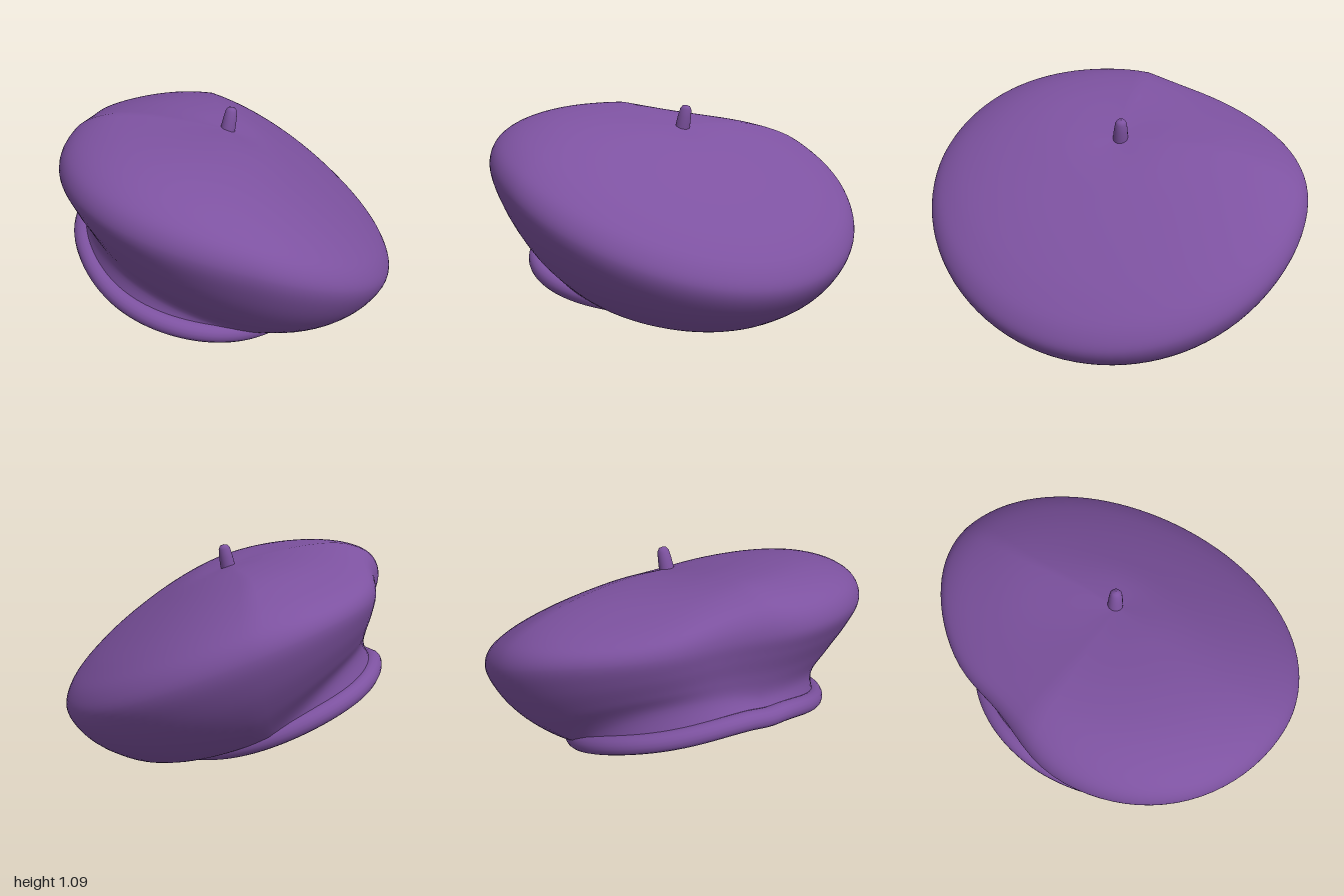
import * as THREE from 'three';

const felt = new THREE.MeshStandardMaterial({ color: 0x7d52a0, side: THREE.DoubleSide });

// Rings of the crown from just above the band up to the centre of the top:
// [left x, left y, right x, right y, half depth, y at front and back, lift at the back left]
const RINGS = [
  [-0.755, 0.55, 0.5, -0.003, 0.7, 0.25, 0.08],
  [-0.78, 0.67, 0.66, 0.045, 0.84, 0.37, 0.04],
  [-0.83, 0.8, 0.79, 0.14, 0.95, 0.53, 0],
  [-0.86, 0.9, 0.855, 0.25, 1, 0.68, -0.02],
  [-0.84, 0.98, 0.83, 0.35, 0.975, 0.77, -0.05],
  [-0.78, 1.04, 0.735, 0.47, 0.89, 0.85, -0.07],
  [-0.64, 1.085, 0.58, 0.61, 0.73, 0.92, -0.07],
  [-0.45, 1.08, 0.37, 0.77, 0.52, 0.97, -0.04],
  [-0.22, 1.035, 0.18, 0.895, 0.26, 0.985, -0.01],
  [-0.02, 0.98, -0.02, 0.98, 0, 0.98, 0],
];

function ringPoint([xl, yl, xr, yr, depth, yz, lift], a) {
  const c = Math.cos(a), s = Math.sin(a), midY = (yl + yr) / 2;
  const leftSide = Math.max(0, -c);
  // The high side sags towards the front and is dented towards the back
  const dent = 0.06 * Math.exp(-(((s + 0.2) / 0.25) ** 2));
  const inward = depth ** 4 * leftSide * (dent - 0.14 * s);
  return new THREE.Vector3(
    (xl + xr) / 2 + ((xr - xl) / 2) * c + inward,
    midY + ((yr - yl) / 2) * c + (yz - midY) * s * s + lift * 2 * leftSide * Math.max(0, -s),
    depth * s
  );
}

// Centre line of the band, curling up at its high side and raised at the back
function bandPoint(a) {
  const c = Math.cos(a), s = Math.sin(a);
  const x = -0.215 + 0.573 * c;
  const curl = 0.09 * Math.max(0, -c) ** 6;
  const back = Math.max(0, -s) * (0.05 - 0.1 * c);
  return new THREE.Vector3(x, 0.165 - 0.19 * x + 0.08 * x * x + curl + back, 0.015 + 0.672 * s);
}

// Smooth skin lofted from the band through the rings
function crownGeometry(around = 96, up = 60) {
  const pos = [], index = [];
  for (let i = 0; i < around; i++) {
    const a = (i / around) * Math.PI * 2;
    const meridian = new THREE.CatmullRomCurve3([bandPoint(a), ...RINGS.map((r) => ringPoint(r, a))]);
    for (let j = 0; j < up; j++) pos.push(...meridian.getPoint(j / up).toArray());
  }
  const apex = around * up;
  pos.push(-0.02, 0.98, 0);
  for (let i = 0; i < around; i++) {
    const p = i * up, q = ((i + 1) % around) * up;
    for (let j = 0; j < up - 1; j++) {
      index.push(p + j, p + j + 1, q + j, q + j, p + j + 1, q + j + 1);
    }
    index.push(p + up - 1, apex, q + up - 1);
  }
  const g = new THREE.BufferGeometry();
  g.setAttribute('position', new THREE.Float32BufferAttribute(pos, 3));
  g.setIndex(index);
  g.computeVertexNormals();
  return g;
}

// Rolled band around the head opening
function bandGeometry() {
  const points = Array.from({ length: 40 }, (_, i) => bandPoint((i / 40) * Math.PI * 2));
  return new THREE.TubeGeometry(new THREE.CatmullRomCurve3(points, true), 120, 0.049, 16, true);
}

// Little tapered stalk with a rounded tip
function stalkGeometry() {
  const profile = [[0.038, -0.02], [0.038, 0.02], [0.035, 0.06], [0.03, 0.1], [0.02, 0.117], [0, 0.123]];
  return new THREE.LatheGeometry(profile.map(([x, y]) => new THREE.Vector2(x, y)), 20);
}

export function createModel() {
  const model = new THREE.Group();
  model.name = 'beret';
  const add = (name, geometry) => {
    const mesh = new THREE.Mesh(geometry, felt);
    mesh.name = name;
    model.add(mesh);
    return mesh;
  };
  add('crown', crownGeometry());
  add('band', bandGeometry());
  const stalk = add('stalk', stalkGeometry());
  stalk.position.set(-0.01, 0.97, -0.02);
  stalk.rotation.set(-0.08, 0, -0.2);
  return model;
}
